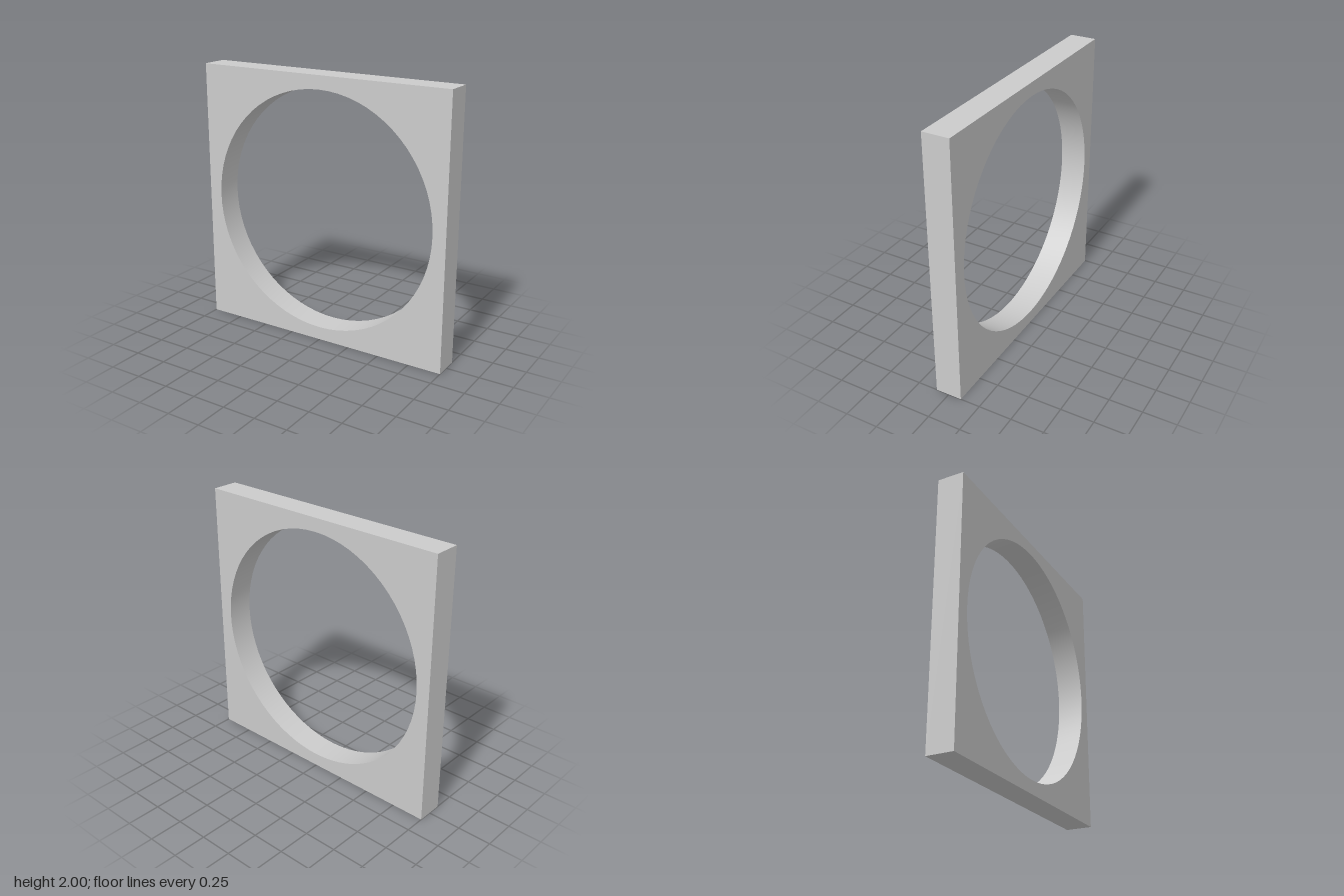
import * as THREE from 'three';
import { toCreasedNormals } from 'three/addons/utils/BufferGeometryUtils.js';

const SIZE = 2, DEPTH = 0.2, HOLE_RADIUS = 0.9;

export function createModel() {
  const group = new THREE.Group();
  group.name = 'squareFrame';

  // Square plate outline, standing on the ground
  const h = SIZE / 2;
  const outline = new THREE.Shape([
    new THREE.Vector2(-h, 0),
    new THREE.Vector2(h, 0),
    new THREE.Vector2(h, SIZE),
    new THREE.Vector2(-h, SIZE),
  ]);

  // Large round opening in the middle
  const opening = new THREE.Path();
  opening.absarc(0, h, HOLE_RADIUS, 0, Math.PI * 2, true);
  outline.holes.push(opening);

  const geometry = new THREE.ExtrudeGeometry(outline, {
    depth: DEPTH,
    bevelEnabled: false,
    curveSegments: 36,
  });
  geometry.translate(0, 0, -DEPTH / 2);

  // Smooth inner wall, sharp outer edges
  const plate = new THREE.Mesh(
    toCreasedNormals(geometry, Math.PI / 6),
    new THREE.MeshStandardMaterial({ color: 0xcccccc })
  );
  plate.name = 'plateWithRoundOpening';
  group.add(plate);

  return group;
}
